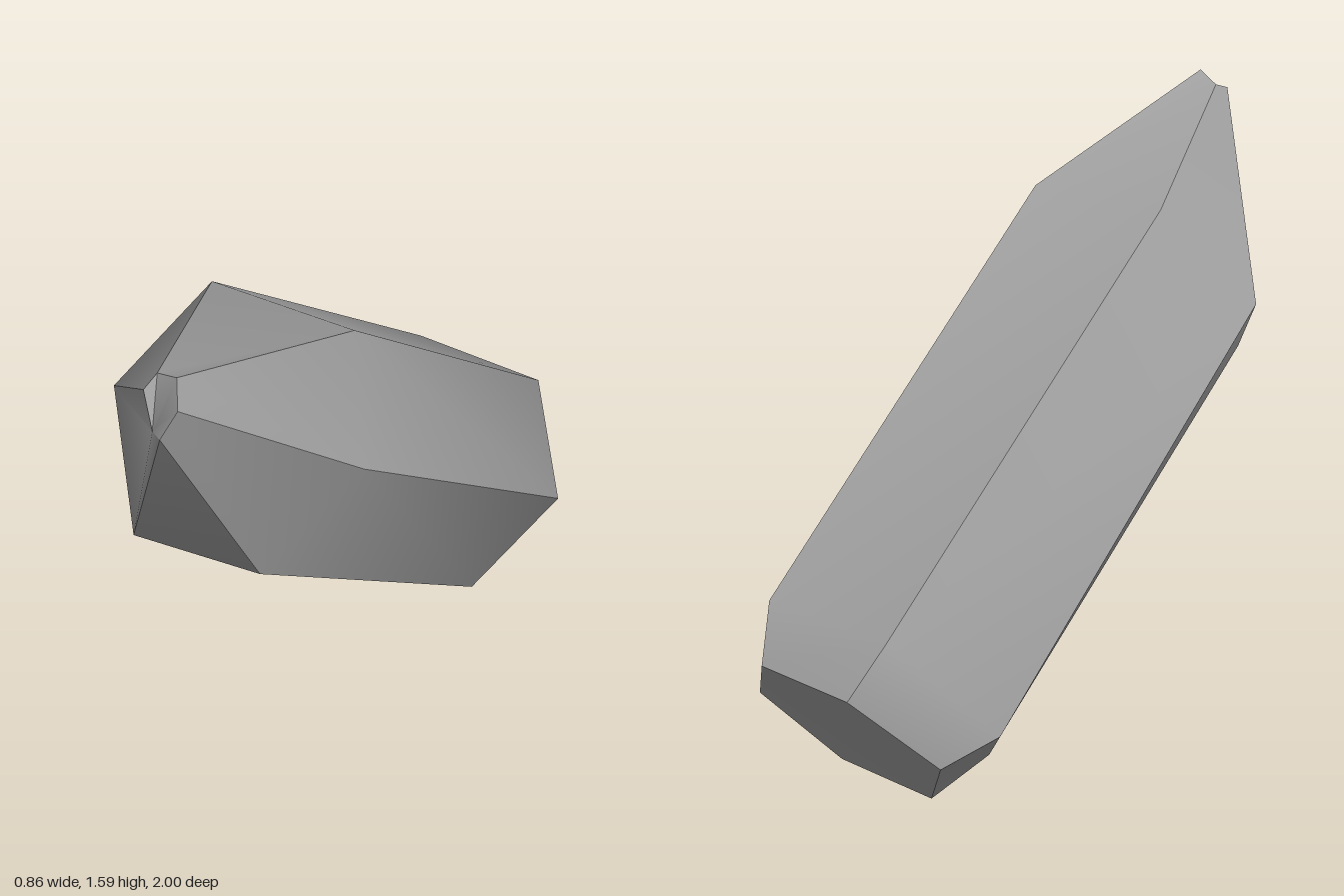
import * as THREE from 'three';
import { toCreasedNormals } from 'three/addons/utils/BufferGeometryUtils.js';

// Six-sided rings along the tilted axis, each counter-clockwise seen from the tip
const rings = [
  // base facet
  [[-0.10, 0.00, -0.68], [0.21, 0.01, -0.67], [0.38, 0.23, -0.80], [0.23, 0.44, -0.96], [-0.08, 0.455, -1.00], [-0.25, 0.23, -0.84]],
  // lower end of the prism
  [[-0.15, 0.05, -0.48], [0.24, 0.05, -0.48], [0.43, 0.32, -0.67], [0.27, 0.58, -0.87], [-0.14, 0.60, -0.91], [-0.36, 0.31, -0.73]],
  // upper end of the prism
  [[-0.24, 0.87, 0.67], [0.13, 0.87, 0.67], [0.33, 1.14, 0.48], [0.20, 1.395, 0.27], [-0.22, 1.415, 0.25], [-0.43, 1.13, 0.42]],
  // small tip facet
  [[0.01, 1.46, 0.965], [0.05, 1.47, 1.00], [0.09, 1.55, 0.98], [0.05, 1.59, 0.91], [-0.02, 1.565, 0.88], [-0.03, 1.545, 0.93]],
];

function crystalGeometry() {
  const sides = 6;
  const index = [];
  // side facets
  for (let r = 0; r < rings.length - 1; r++) {
    for (let i = 0; i < sides; i++) {
      const a = r * sides + i;
      const b = r * sides + (i + 1) % sides;
      index.push(a, b, b + sides, a, b + sides, a + sides);
    }
  }
  // end facets
  const top = (rings.length - 1) * sides;
  for (let i = 1; i < sides - 1; i++) {
    index.push(0, i + 1, i);
    index.push(top, top + i, top + i + 1);
  }
  const geometry = new THREE.BufferGeometry();
  geometry.setAttribute('position', new THREE.Float32BufferAttribute(rings.flat(2), 3));
  geometry.setIndex(index);
  return toCreasedNormals(geometry, THREE.MathUtils.degToRad(35));
}

export function createModel() {
  const group = new THREE.Group();
  group.name = 'crystal';
  const stone = new THREE.MeshStandardMaterial({ color: 0xa0a0a0 });
  stone.name = 'grey stone';
  const shard = new THREE.Mesh(crystalGeometry(), stone);
  shard.name = 'crystalShard';
  group.add(shard);
  return group;
}
